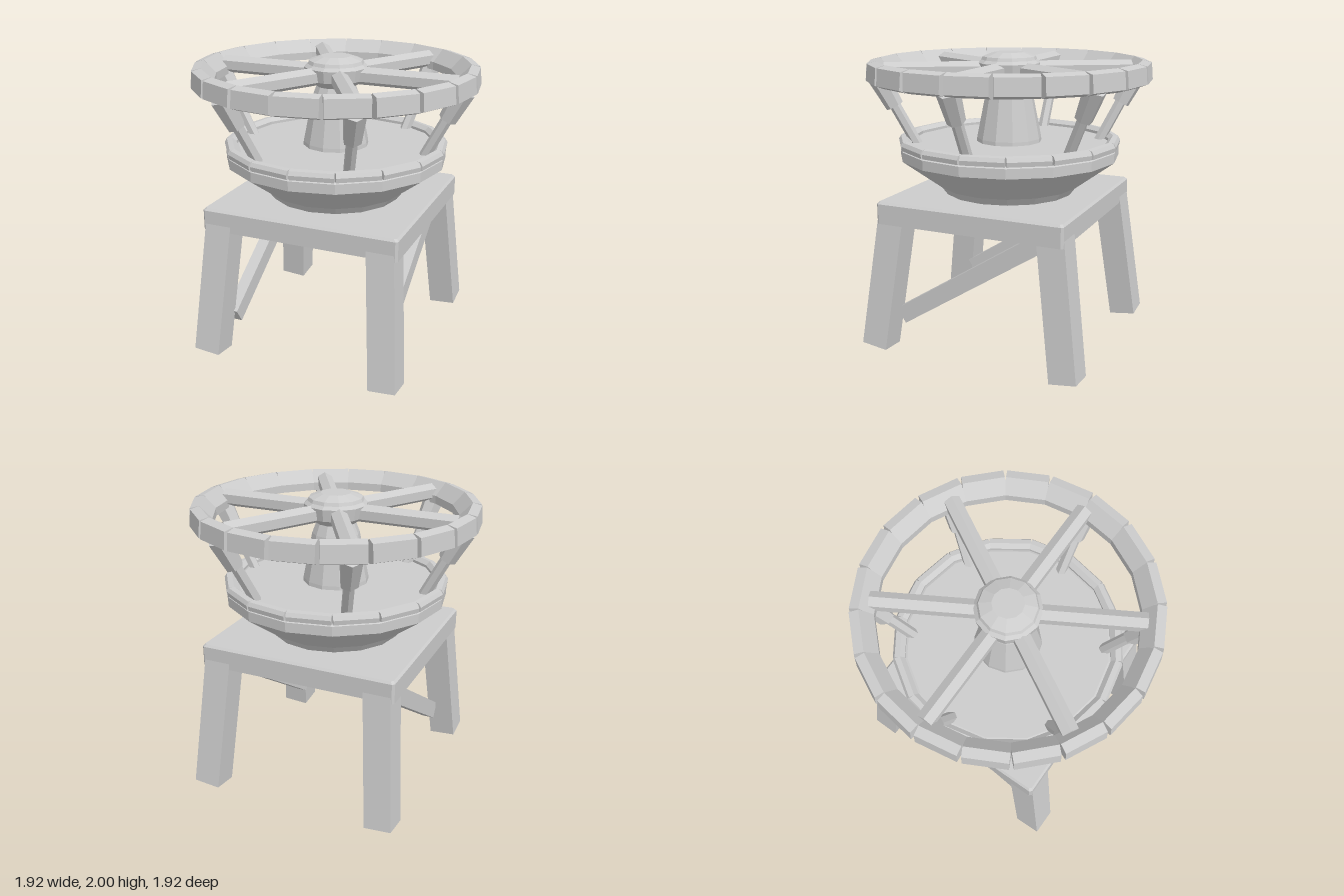
import * as THREE from 'three';

export function createModel() {
  const model = new THREE.Group();
  const grey = new THREE.MeshStandardMaterial({ color: 0xcccccc, flatShading: true });

  function add(name, geometry, parent = model) {
    const mesh = new THREE.Mesh(geometry, grey);
    mesh.name = name;
    parent.add(mesh);
    return mesh;
  }
  const points = (list) => list.map(([x, y]) => new THREE.Vector2(x, y));

  // Six-sided bar between two points, thinner or thicker at the end
  function bar(name, from, to, rFrom, rTo, parent) {
    const a = new THREE.Vector3(...from), b = new THREE.Vector3(...to);
    const dir = b.clone().sub(a);
    const geo = new THREE.CylinderGeometry(rTo, rFrom, dir.length(), 6).rotateY(Math.PI / 6);
    const mesh = add(name, geo, parent);
    mesh.position.copy(a).add(b).multiplyScalar(0.5);
    mesh.quaternion.setFromUnitVectors(new THREE.Vector3(0, 1, 0), dir.normalize());
    return mesh;
  }

  // Ring of straight blocks; profile is given as (radius, height)
  function blockRing(name, profile, count, length) {
    const ring = new THREE.Group();
    ring.name = name;
    const geo = new THREE.ExtrudeGeometry(new THREE.Shape(points(profile)),
      { depth: length, bevelEnabled: false }).translate(0, 0, -length / 2);
    for (let i = 0; i < count; i++) {
      add(name + 'Block', geo, ring).rotation.y = ((i + 0.5) / count) * Math.PI * 2;
    }
    model.add(ring);
  }

  // Table top with chamfered corners and a bevelled upper edge
  const w = 0.683, d = 0.66, c = 0.015;
  const outline = new THREE.Shape(points([
    [w - c, -d], [w, -d + c], [w, d - c], [w - c, d],
    [-w + c, d], [-w, d - c], [-w, -d + c], [-w + c, -d],
  ]));
  const top = new THREE.ExtrudeGeometry(outline, { depth: 0.15, steps: 2, bevelEnabled: false });
  top.rotateX(-Math.PI / 2).translate(0, 0.9, 0);
  const p = top.attributes.position;
  for (let i = 0; i < p.count; i++) {
    const y = p.getY(i);
    if (y > 1.04) p.setXYZ(i, p.getX(i) * 0.98, y, p.getZ(i) * 0.98);
    else if (y > 0.95) p.setY(i, 1.035);
  }
  add('tableTop', top);

  // Splayed legs and one diagonal brace on each side
  for (const sx of [-1, 1]) {
    for (const sz of [-1, 1]) {
      const leg = add('leg', new THREE.BoxGeometry(0.185, 0.95, 0.185));
      leg.position.set(sx * 0.604, 0.492, sz * 0.627);
      leg.rotation.set(-sz * 0.133, 0, sx * 0.077);
    }
    const brace = add('brace', new THREE.BoxGeometry(0.085, 0.118, 1.23));
    brace.position.set(sx * 0.545, 0.557, 0.035);
    brace.rotation.x = 0.573;
  }

  // Faceted bowl with a flat floor
  add('bowl', new THREE.LatheGeometry(points([
    [0, 1.04], [0.44, 1.04], [0.485, 1.1], [0.755, 1.3], [0.755, 1.365],
    [0.72, 1.38], [0.67, 1.395], [0, 1.395],
  ]), 16));

  // Lower and upper rings
  blockRing('lowerRing', [
    [0.67, 1.375], [0.745, 1.375], [0.75, 1.405], [0.735, 1.43], [0.70, 1.435], [0.67, 1.41],
  ], 16, 0.283);
  blockRing('upperRing', [
    [0.80, 1.815], [0.90, 1.81], [0.95, 1.83], [0.94, 1.94], [0.88, 1.955], [0.80, 1.87],
  ], 20, 0.272);

  // Central column and hub
  add('column', new THREE.LatheGeometry(points([
    [0, 1.38], [0.225, 1.38], [0.222, 1.42], [0.16, 1.73], [0.125, 1.82], [0, 1.82],
  ]), 12));
  add('hub', new THREE.LatheGeometry(points([
    [0, 1.8], [0.13, 1.8], [0.2, 1.85], [0.213, 1.93], [0.19, 1.95],
    [0.18, 1.972], [0.1, 2], [0, 2],
  ]), 12));

  // Six spokes, each with a slanted strut and a sleeve below its outer end
  for (let i = 0; i < 6; i++) {
    const arm = new THREE.Group();
    arm.name = 'spokeArm';
    arm.rotation.y = (i * Math.PI) / 3;
    const spoke = new THREE.CylinderGeometry(0.06, 0.06, 0.7, 6);
    spoke.rotateY(Math.PI / 6).rotateZ(Math.PI / 2);
    add('spoke', spoke, arm).position.set(0.49, 1.88, 0);
    bar('strut', [0.63, 1.38, 0], [0.8, 1.7, 0], 0.038, 0.038, arm);
    bar('sleeve', [0.775, 1.645, 0], [0.875, 1.84, 0], 0.06, 0.075, arm);
    model.add(arm);
  }

  return model;
}
